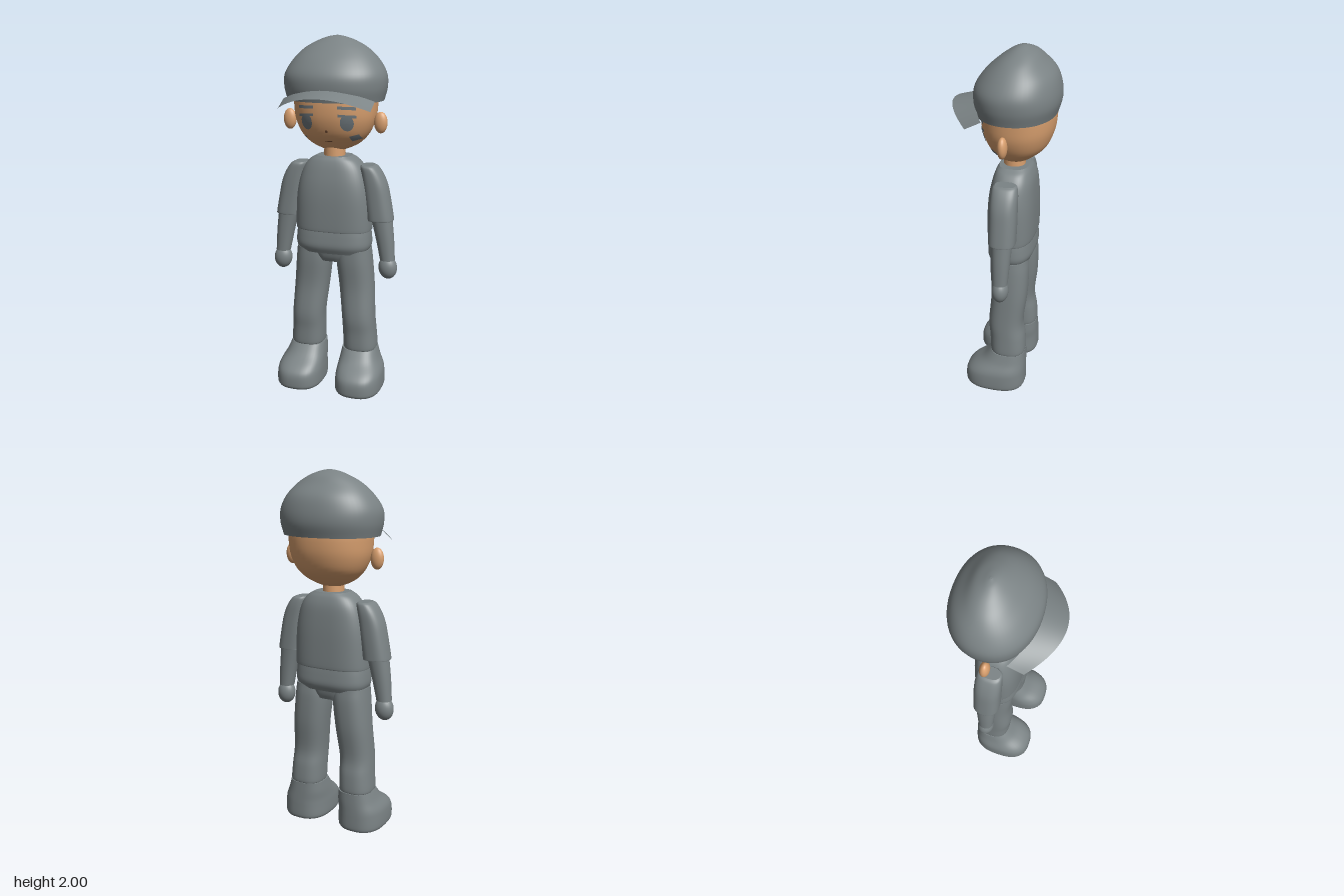
import * as THREE from 'three';

const mat = (name, color) => new THREE.MeshStandardMaterial({ name, color });

// Rounded cross-section: exponent n = 2 is an ellipse, higher is boxier.
const sup = (v, n) => Math.sign(v) * Math.pow(Math.abs(v), 2 / n);

// Stations are [y, xMin, xMax, zMin, zMax], bottom to top; returns smoothed rows.
function smoothRows(stations, rows) {
  const mid = new THREE.CatmullRomCurve3(stations.map(([y, a, b, c, d]) =>
    new THREE.Vector3((a + b) / 2, y, (c + d) / 2)), false, 'catmullrom');
  const half = new THREE.CatmullRomCurve3(stations.map(([, a, b, c, d]) =>
    new THREE.Vector3((b - a) / 2, 0, (d - c) / 2)), false, 'catmullrom');
  return Array.from({ length: rows + 1 }, (_, i) => ({ c: mid.getPoint(i / rows), r: half.getPoint(i / rows) }));
}

// Closed body through the rows, with flat end caps.
function loft(stations, n = 2, rows = 24, seg = 40) {
  const rings = smoothRows(stations, rows);
  const pos = [], idx = [];
  const addRing = ({ c, r }) => {
    for (let j = 0; j < seg; j++) {
      const a = (j / seg) * Math.PI * 2;
      pos.push(c.x + r.x * sup(Math.cos(a), n), c.y, c.z + r.z * sup(Math.sin(a), n));
    }
  };
  rings.forEach(addRing);
  for (let i = 0; i < rows; i++) for (let j = 0; j < seg; j++) {
    const a = i * seg + j, b = i * seg + (j + 1) % seg;
    idx.push(a, a + seg, b, b, a + seg, b + seg);
  }
  [rings[0], rings[rows]].forEach((ring, top) => {
    const base = pos.length / 3;
    addRing(ring);
    pos.push(ring.c.x, ring.c.y, ring.c.z);
    for (let j = 0; j < seg; j++) {
      const a = base + j, b = base + (j + 1) % seg;
      idx.push(base + seg, top ? b : a, top ? a : b);
    }
  });
  const g = new THREE.BufferGeometry();
  g.setAttribute('position', new THREE.Float32BufferAttribute(pos, 3));
  g.setIndex(idx);
  g.computeVertexNormals();
  return g;
}

const HEAD_N = 2.2;
const HEAD = [
  [1.38, -0.03, 0.03, -0.08, -0.02], [1.4, -0.09, 0.09, -0.12, 0.01], [1.43, -0.145, 0.145, -0.165, 0.045],
  [1.48, -0.19, 0.19, -0.22, 0.09], [1.55, -0.22, 0.22, -0.25, 0.118], [1.62, -0.23, 0.23, -0.262, 0.128],
  [1.7, -0.23, 0.23, -0.26, 0.125], [1.8, -0.2, 0.2, -0.23, 0.1], [1.9, -0.09, 0.09, -0.14, 0],
];
const headRows = smoothRows(HEAD, 32);

// Height of the face surface at (x, y).
function faceZ(x, y) {
  const i = Math.max(0, headRows.findIndex((q) => q.c.y > y) - 1);
  const p = headRows[i], q = headRows[i + 1];
  const t = (y - p.c.y) / (q.c.y - p.c.y);
  const r = p.r.clone().lerp(q.r, t), c = p.c.clone().lerp(q.c, t);
  return c.z + r.z * Math.pow(Math.max(0, 1 - Math.pow(Math.abs(x) / r.x, HEAD_N)), 1 / HEAD_N);
}

export function createModel() {
  const model = new THREE.Group();
  const cloth = mat('grey', 0x7b8385);
  const skin = mat('skin', 0xd9a06f);
  const paint = mat('facePaint', 0x70797e);
  const dark = mat('darkLine', 0x7a5238);
  const brimMat = cloth.clone();
  brimMat.side = THREE.DoubleSide;

  const add = (name, geo, material) => {
    const m = new THREE.Mesh(geo, material);
    m.name = name;
    model.add(m);
    return m;
  };
  const ellipsoid = (name, material, x, y, z, rx, ry, rz) => {
    const m = add(name, new THREE.SphereGeometry(1, 28, 20), material);
    m.position.set(x, y, z);
    m.scale.set(rx, ry, rz);
    return m;
  };

  // Head and neck
  add('head', loft(HEAD, HEAD_N, 32, 48), skin);
  const neck = add('neck', new THREE.CylinderGeometry(0.058, 0.06, 0.1, 28), skin);
  neck.position.set(0, 1.37, -0.042);

  // Cap crown
  add('capCrown', loft([
    [1.66, -0.268, 0.268, -0.267, 0.15], [1.73, -0.284, 0.284, -0.285, 0.164], [1.8, -0.28, 0.28, -0.28, 0.157],
    [1.87, -0.24, 0.24, -0.255, 0.11], [1.93, -0.18, 0.18, -0.2, 0.045], [1.97, -0.11, 0.11, -0.16, -0.01],
    [1.992, -0.05, 0.05, -0.115, -0.05], [2, -0.005, 0.005, -0.09, -0.08],
  ], 2.15, 36, 56), cloth);

  // Curved brim, arching down at both sides
  const brim = new THREE.PlaneGeometry(1, 1, 32, 6);
  const bp = brim.attributes.position;
  for (let i = 0; i < bp.count; i++) {
    const x = bp.getX(i) * 0.51, t = 0.5 - bp.getY(i), x2 = x * x;
    const inner = [1.728 - 0.92 * x2, 0.155 - 1.3 * x2], outer = [1.695 - 1.08 * x2, 0.286 - 2 * x2];
    bp.setXYZ(i, x, THREE.MathUtils.lerp(inner[0], outer[0], t), THREE.MathUtils.lerp(inner[1], outer[1], t));
  }
  brim.computeVertexNormals();
  add('capBrim', brim, brimMat);

  // Painted face details, laid onto the head surface
  const patch = (name, geo, x, y, material, tilt = 0) => {
    geo.rotateZ(tilt).translate(x, y, 0);
    const p = geo.attributes.position;
    for (let i = 0; i < p.count; i++) p.setZ(i, faceZ(p.getX(i), p.getY(i)) + 0.004);
    geo.computeVertexNormals();
    add(name, geo, material);
  };
  const bar = (w, h) => new THREE.PlaneGeometry(w, h, 8, 4);
  const oval = (w, h) => new THREE.RingGeometry(0.0001, 0.5, 24, 4).scale(w, h, 1);
  for (const s of [-1, 1]) {
    patch('eye', oval(0.068, 0.088), s * 0.112, 1.553, paint);
    patch('eyelid', bar(0.092, 0.014), s * 0.114, 1.59, paint, -s * 0.08);
    patch('eyebrow', bar(0.092, 0.016), s * 0.113, 1.633, paint, -s * 0.06);
  }
  patch('cheekMark', bar(0.048, 0.03), 0.142, 1.468, paint, 0.25);
  patch('smallCheekMark', bar(0.016, 0.01), -0.14, 1.462, paint);
  patch('nose', oval(0.016, 0.016), 0, 1.505, dark);
  patch('mouth', bar(0.04, 0.005), 0, 1.446, dark);

  // Shirt, hips and the wedge between the legs
  add('shirt', loft([
    [0.938, -0.212, 0.212, -0.163, 0.084], [0.955, -0.217, 0.217, -0.17, 0.09], [1.1, -0.213, 0.213, -0.17, 0.09],
    [1.2, -0.2, 0.2, -0.166, 0.082], [1.28, -0.175, 0.175, -0.158, 0.066],
    [1.33, -0.14, 0.14, -0.142, 0.05], [1.356, -0.098, 0.098, -0.125, 0.035],
  ], 2.8, 28, 48), cloth);
  add('hips', loft([
    [0.81, -0.198, 0.198, -0.152, 0.072], [0.85, -0.215, 0.215, -0.168, 0.088],
    [0.9, -0.214, 0.214, -0.166, 0.086], [0.95, -0.208, 0.208, -0.16, 0.08],
  ], 2.8, 12, 48), cloth);
  add('crotch', loft([
    [0.757, -0.068, 0.068, -0.13, 0.045], [0.785, -0.084, 0.084, -0.142, 0.06], [0.82, -0.104, 0.104, -0.15, 0.07],
  ], 3.5, 6), cloth);

  // Limbs, written for +x and mirrored
  for (const s of [1, -1]) {
    const sided = (rows) => rows.map(([y, a, b, c, d]) => (s > 0 ? [y, a, b, c, d] : [y, -b, -a, c, d]));
    const limb = (name, rows, n, count) => add(name, loft(sided(rows), n, count), cloth);

    ellipsoid('ear', skin, s * 0.261, 1.545, -0.04, 0.037, 0.058, 0.026);

    limb('sleeve', [
      [1.005, 0.192, 0.342, -0.113, 0.03], [1.02, 0.192, 0.341, -0.114, 0.032], [1.12, 0.178, 0.323, -0.115, 0.032],
      [1.2, 0.168, 0.305, -0.114, 0.032], [1.26, 0.16, 0.279, -0.112, 0.03], [1.3, 0.155, 0.25, -0.105, 0.026],
      [1.312, 0.16, 0.23, -0.095, 0.015],
    ], 2.5, 24);
    limb('forearm', [
      [0.775, 0.272, 0.355, -0.081, 0.003], [0.9, 0.245, 0.347, -0.09, 0.01], [1.02, 0.215, 0.334, -0.098, 0.015],
    ], 2.2, 12);
    ellipsoid('hand', cloth, s * 0.316, 0.728, -0.04, 0.053, 0.066, 0.046).rotation.z = s * 0.1;

    limb('trouserLeg', [
      [0.222, 0.068, 0.25, -0.143, 0.045], [0.24, 0.063, 0.256, -0.151, 0.052], [0.33, 0.06, 0.25, -0.145, 0.056],
      [0.43, 0.056, 0.244, -0.132, 0.064], [0.6, 0.037, 0.234, -0.15, 0.052],
      [0.75, 0.02, 0.222, -0.153, 0.06], [0.83, 0.02, 0.214, -0.145, 0.06],
    ], 2.5, 28);
    limb('shoe', [
      [0, 0.05, 0.306, -0.15, 0.19], [0.02, 0.042, 0.313, -0.156, 0.198], [0.08, 0.043, 0.311, -0.156, 0.194],
      [0.12, 0.046, 0.303, -0.155, 0.165], [0.17, 0.05, 0.278, -0.153, 0.098], [0.225, 0.057, 0.258, -0.15, 0.05],
    ], 2.6, 24);
  }
  return model;
}
